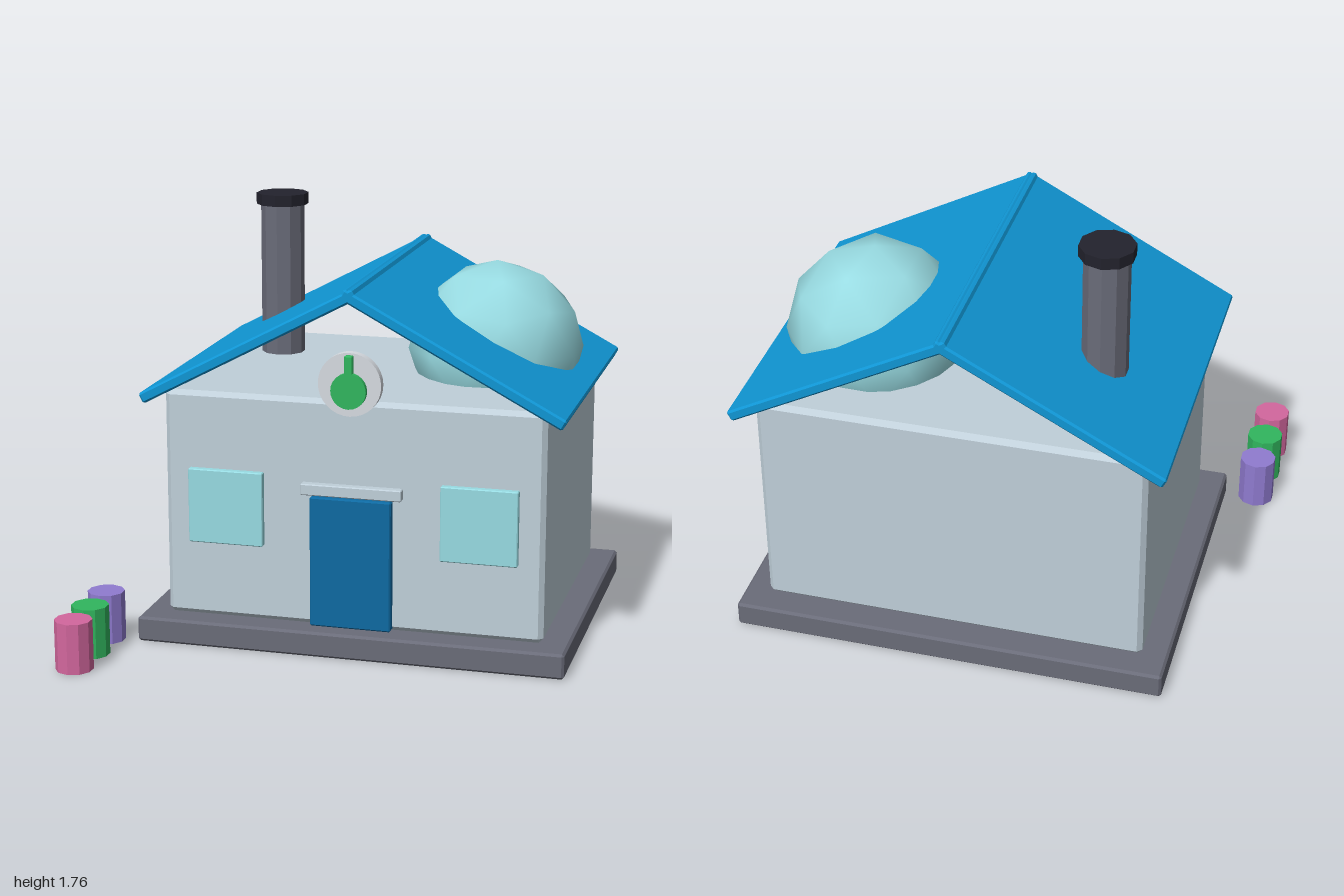
import * as THREE from 'three';
import { ConvexGeometry } from 'three/addons/geometries/ConvexGeometry.js';

const mat = (name, color) => {
  const m = new THREE.MeshStandardMaterial({ color });
  m.name = name;
  return m;
};

// Box with every edge chamfered by c
function chamferBox(w, h, d, c) {
  const half = [w / 2, h / 2, d / 2], points = [];
  for (const sx of [-1, 1]) for (const sy of [-1, 1]) for (const sz of [-1, 1]) {
    for (let axis = 0; axis < 3; axis++) {
      const p = half.map((v, i) => (i === axis ? v : v - c));
      points.push(new THREE.Vector3(p[0] * sx, p[1] * sy, p[2] * sz));
    }
  }
  return new ConvexGeometry(points);
}

// Faceted cylinder with flat sides
function facetCylinder(r, h, sides = 10) {
  const g = new THREE.CylinderGeometry(r, r, h, sides).toNonIndexed();
  g.computeVertexNormals();
  return g;
}

export function createModel() {
  const model = new THREE.Group();
  model.name = 'cottage';

  const wall = mat('pale grey wall', 0xc0d0da);
  const slate = mat('slate grey', 0x6a6c79);
  const roofBlue = mat('roof blue', 0x1096d4);
  const doorBlue = mat('door blue', 0x0e6aa2);
  const glass = mat('pale aqua glass', 0x98dbe2);
  const black = mat('cap black', 0x23232d);
  const signGrey = mat('sign grey', 0xd6dbe1);
  const green = mat('green', 0x31b65e);
  const pink = mat('pink', 0xd3679e);
  const purple = mat('purple', 0x907bd0);

  const add = (name, geometry, material, x, y, z) => {
    const mesh = new THREE.Mesh(geometry, material);
    mesh.name = name;
    mesh.position.set(x, y, z);
    model.add(mesh);
    return mesh;
  };
  // Chamfered box given by its extents
  const block = (name, material, [x0, x1], [y0, y1], [z0, z1], c) =>
    add(name, chamferBox(x1 - x0, y1 - y0, z1 - z0, c), material,
      (x0 + x1) / 2, (y0 + y1) / 2, (z0 + z1) / 2);

  const cx = 0.1, cz = -0.225;   // middle of the house

  // Foundation and walls
  block('foundation', slate, [-0.794, 0.994], [0, 0.106], [-0.934, 0.484], 0.01);
  block('walls', wall, [-0.69, 0.89], [0.106, 1.06], [-0.828, 0.386], 0.02);

  // Two roof slabs crossing at the ridge, open gables below
  for (const side of [-1, 1]) {
    const slab = add(side > 0 ? 'leftRoofSlab' : 'rightRoofSlab',
      chamferBox(1.013, 0.046, 1.364, 0.008), roofBlue, cx + side * 0.422, 1.268, cz);
    slab.rotation.z = -side * THREE.MathUtils.degToRad(28);
  }

  // Glass dome set into the left roof slope
  const domeGeo = new THREE.IcosahedronGeometry(0.37, 1);
  domeGeo.rotateZ(-Math.atan(2 / (1 + Math.sqrt(5))));
  add('dome', domeGeo, glass, 0.545, 1.16, -0.305);

  // Chimney
  add('chimney', facetCylinder(0.093, 0.72), slate, -0.428, 1.36, -0.436);
  add('chimneyCap', facetCylinder(0.112, 0.048), black, -0.428, 1.733, -0.436);

  // Door, lintel and windows
  block('door', doorBlue, [-0.068, 0.27], [0.112, 0.66], [0.37, 0.424], 0.006);
  block('lintel', wall, [-0.107, 0.312], [0.665, 0.712], [0.37, 0.422], 0.004);
  for (const side of [-1, 1]) {
    const x = cx + side * 0.528;
    block(side > 0 ? 'leftWindow' : 'rightWindow', glass,
      [x - 0.158, x + 0.158], [0.428, 0.74], [0.37, 0.414], 0.004);
  }

  // Round sign with a flask shape on it
  const sign = add('signDisc', new THREE.CylinderGeometry(0.13, 0.13, 0.036, 32), signGrey, cx, 1.135, 0.405);
  const bulb = add('flaskBulb', new THREE.CylinderGeometry(0.073, 0.073, 0.03, 24), green, cx, 1.112, 0.43);
  sign.rotation.x = bulb.rotation.x = Math.PI / 2;
  block('flaskNeck', green, [0.083, 0.117], [1.16, 1.256], [0.415, 0.445], 0.004);

  // Row of coloured barrels beside the house
  [[purple, 0.488], [green, 0.672], [pink, 0.856]].forEach(([m, z], i) =>
    add('barrel' + (i + 1), facetCylinder(0.077, 0.21), m, -0.927, 0.105, z));

  return model;
}
